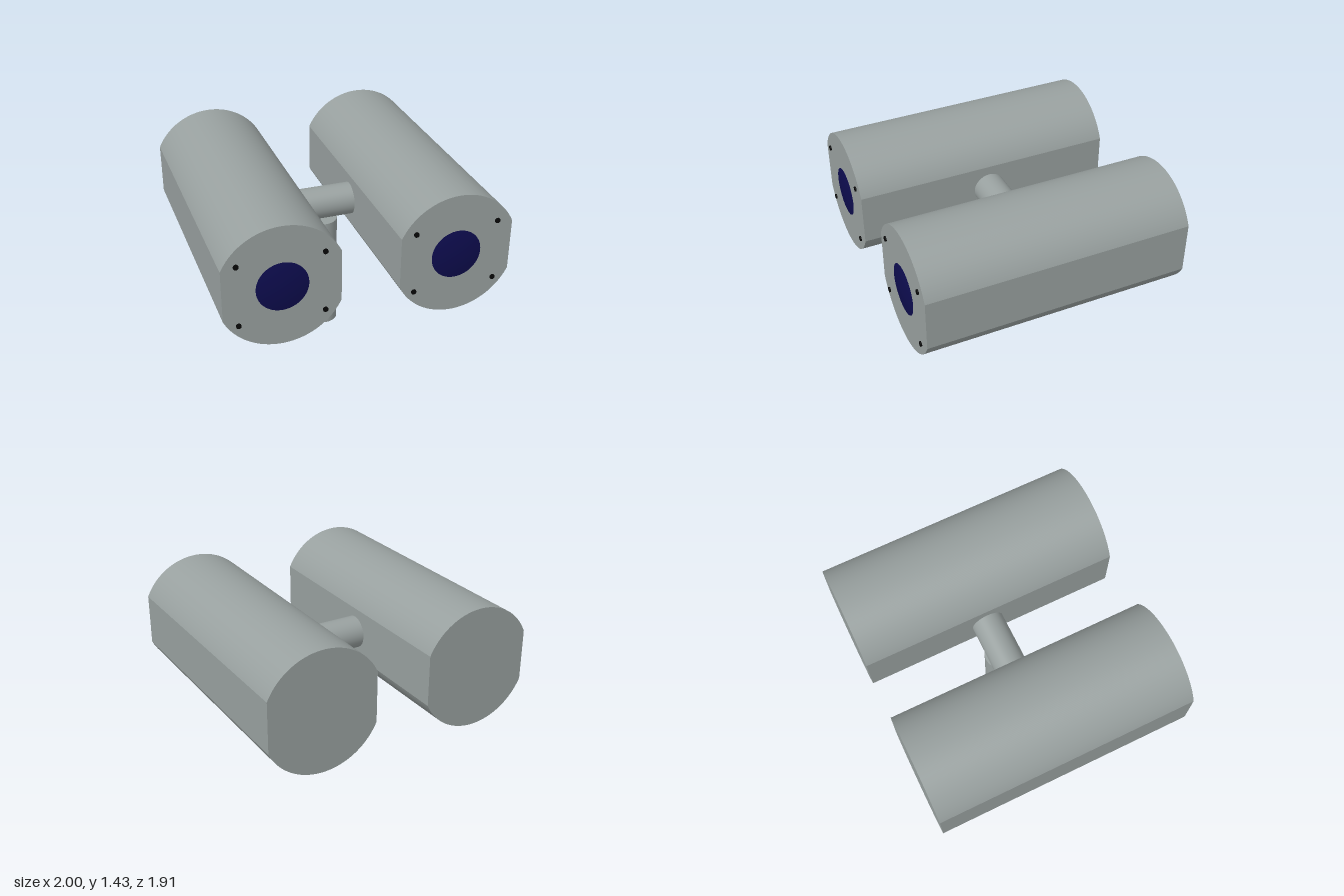
import * as THREE from 'three';

const CY = 0.988, CX = 0.6025, R = 0.438, HALF = 0.3975;
const BACK = -0.955, FRONT = 0.94, MOUNT_Z = -0.035;

export function createModel() {
  const model = new THREE.Group();
  const mat = (name, color) => {
    const m = new THREE.MeshStandardMaterial({ color });
    m.name = name;
    return m;
  };
  const grey = mat('grey metal', 0x98a09f);
  const navy = mat('navy glass', 0x0d0c4e);
  const black = mat('black screws', 0x060606);

  const add = (parent, name, geometry, material, x, y, z) => {
    const mesh = new THREE.Mesh(geometry, material);
    mesh.name = name;
    mesh.position.set(x, y, z);
    parent.add(mesh);
    return mesh;
  };

  // Housing section: a circle with flat left and right sides
  const a = Math.acos(HALF / R);
  const section = new THREE.Shape();
  section.absarc(0, 0, R, a, Math.PI - a, false);
  section.absarc(0, 0, R, Math.PI + a, 2 * Math.PI - a, false);
  section.closePath();
  const housing = new THREE.ExtrudeGeometry(section, {
    depth: FRONT - BACK, bevelEnabled: false, curveSegments: 48,
  });

  // Shallow domed lens
  const lensR = 0.177, bulge = 0.017;
  const sphereR = (lensR * lensR + bulge * bulge) / (2 * bulge);
  const lens = new THREE.SphereGeometry(sphereR, 64, 10, 0, Math.PI * 2, 0, Math.asin(lensR / sphereR));
  lens.translate(0, bulge - sphereR, 0);
  lens.rotateX(Math.PI / 2);

  const screw = new THREE.CylinderGeometry(0.018, 0.018, 0.03, 20);
  screw.rotateX(Math.PI / 2);

  // Two matching housings with lens and corner screws
  for (const side of [-1, 1]) {
    const unit = new THREE.Group();
    unit.name = side > 0 ? 'leftHousing' : 'rightHousing';
    unit.position.set(side * CX, CY, 0);
    model.add(unit);
    add(unit, 'housing', housing, grey, 0, 0, BACK);
    add(unit, 'lens', lens, navy, 0, 0, FRONT + 0.001);
    for (const x of [-0.297, 0.286])
      for (const y of [-0.235, 0.205])
        add(unit, 'screw', screw, black, x, y, FRONT - 0.005);
  }

  // Crossbar and post
  const bar = new THREE.CylinderGeometry(0.117, 0.117, 0.42, 48);
  bar.rotateZ(Math.PI / 2);
  add(model, 'crossbar', bar, grey, 0, 0.991, MOUNT_Z);
  add(model, 'post', new THREE.CylinderGeometry(0.115, 0.115, 0.865, 48), grey, -0.01, 0.4325, MOUNT_Z - 0.003);

  return model;
}
